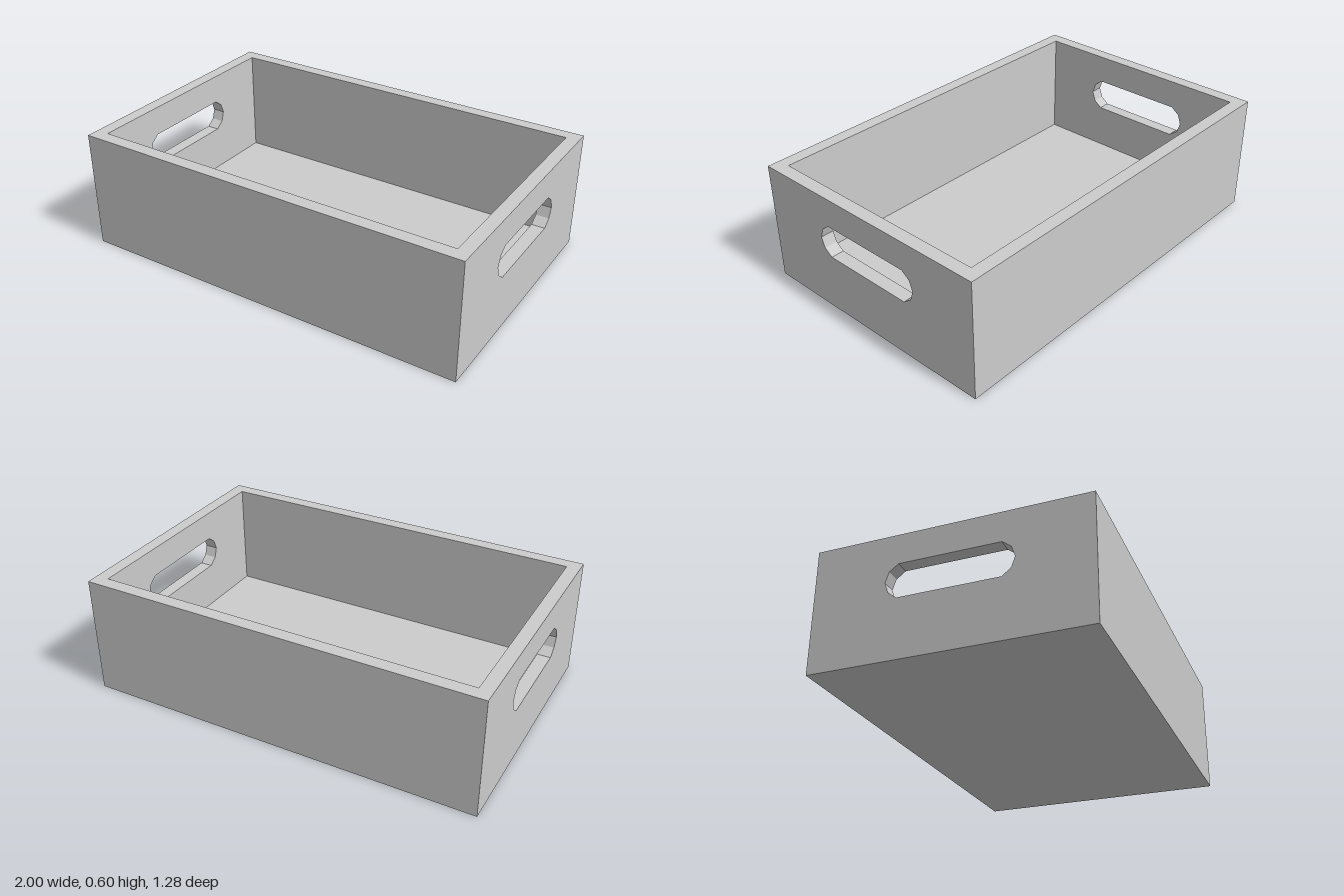
import * as THREE from 'three';

const W = 2, H = 0.6, D = 1.28; // outer size
const WALL = 0.065, FLOOR = 0.06; // thicknesses

const material = new THREE.MeshStandardMaterial({ color: 0xcccccc, flatShading: true });

// Rounded hand slot, one quarter mirrored into a closed outline
function handleHole() {
  const cy = 0.372;
  const quarter = [[0.295, 0], [0.278, 0.05], [0.236, 0.082]];
  const upper = [...quarter, ...quarter.slice().reverse().map(([x, y]) => [-x, y])];
  const lower = upper.slice(1, -1).reverse().map(([x, y]) => [x, -y]);
  return new THREE.Path([...upper, ...lower].map(([x, y]) => new THREE.Vector2(x, cy + y)));
}

// Wall panel facing +z, mitred inward at both ends and along the bottom
function wallGeometry(width, withHole) {
  const half = width / 2;
  const shape = new THREE.Shape([
    new THREE.Vector2(-half, 0), new THREE.Vector2(half, 0),
    new THREE.Vector2(half, H), new THREE.Vector2(-half, H),
  ]);
  if (withHole) shape.holes.push(handleHole());
  const geometry = new THREE.ExtrudeGeometry(shape, { depth: WALL, bevelEnabled: false });
  const p = geometry.attributes.position;
  for (let i = 0; i < p.count; i++) {
    if (p.getZ(i) > WALL / 2) continue;
    if (Math.abs(p.getX(i)) > half - 1e-4) p.setX(i, Math.sign(p.getX(i)) * (half - WALL));
    if (p.getY(i) < 1e-4) p.setY(i, FLOOR);
  }
  geometry.computeVertexNormals();
  return geometry;
}

// Floor slab, its top edge drawn in to meet the mitred walls
function floorGeometry() {
  const geometry = new THREE.BoxGeometry(W, FLOOR, D).toNonIndexed();
  geometry.translate(0, FLOOR / 2, 0);
  const p = geometry.attributes.position;
  for (let i = 0; i < p.count; i++) {
    if (p.getY(i) < FLOOR / 2) continue;
    p.setX(i, Math.sign(p.getX(i)) * (W / 2 - WALL));
    p.setZ(i, Math.sign(p.getZ(i)) * (D / 2 - WALL));
  }
  geometry.computeVertexNormals();
  return geometry;
}

export function createModel() {
  const tray = new THREE.Group();
  tray.name = 'tray';

  // Four walls, turned to face outwards
  const walls = [
    ['frontWall', W, D, false],
    ['leftHandleWall', D, W, true],
    ['backWall', W, D, false],
    ['rightHandleWall', D, W, true],
  ];
  walls.forEach(([name, width, span, withHole], i) => {
    const wall = new THREE.Mesh(wallGeometry(width, withHole), material);
    wall.name = name;
    wall.rotation.y = i * Math.PI / 2;
    wall.translateZ(span / 2 - WALL);
    tray.add(wall);
  });

  const floor = new THREE.Mesh(floorGeometry(), material);
  floor.name = 'floor';
  tray.add(floor);
  return tray;
}
